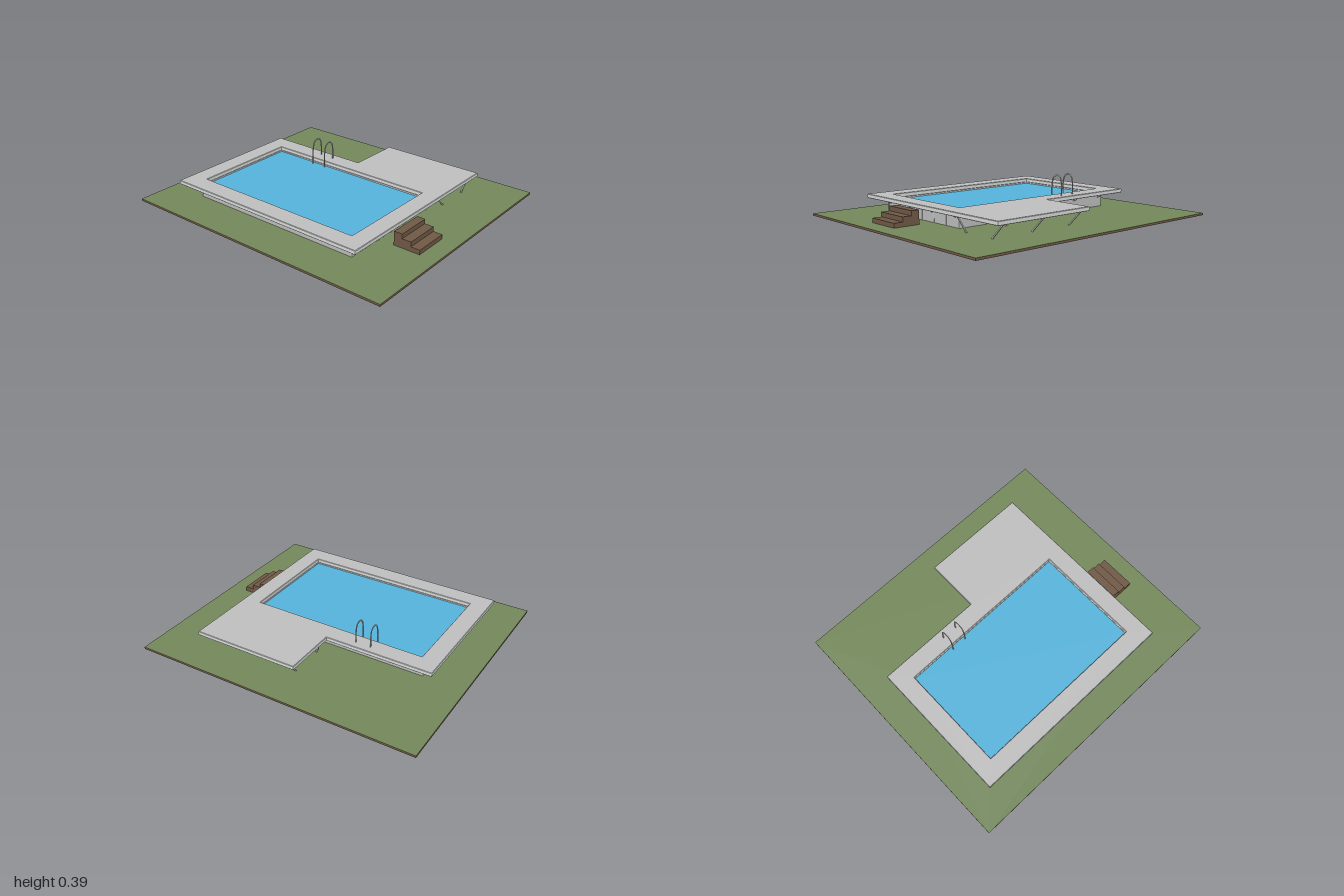
import * as THREE from 'three';

const mat = (name, color) => Object.assign(new THREE.MeshStandardMaterial({ color }), { name });

export function createModel() {
  const grass = mat('grass green', 0x73875a);
  const wood = mat('earth and wood brown', 0x6f5845);
  const stone = mat('deck grey', 0xbcbdbc);
  const trim = mat('light trim grey', 0xd8dcda);
  const steel = mat('steel grey', 0xc2c4c2);
  const water = mat('water blue', 0x55b2da);
  const floorBlue = mat('floor blue', 0x2d74b2);
  floorBlue.side = THREE.DoubleSide;
  water.side = THREE.DoubleSide;

  const model = new THREE.Group();
  const add = (name, geometry, material, parent = model) => {
    const mesh = new THREE.Mesh(geometry, material);
    mesh.name = name;
    parent.add(mesh);
    return mesh;
  };
  const group = (name) => {
    const g = new THREE.Group();
    g.name = name;
    model.add(g);
    return g;
  };
  const v = (x, y, z) => new THREE.Vector3(x, y, z);
  const rect = (x0, x1, z0, z1) => [[x0, z0], [x1, z0], [x1, z1], [x0, z1]].map((p) => new THREE.Vector2(...p));

  // Horizontal slab from an x/z outline with a hole and optional bevelled edges
  const slab = (outline, hole, y0, y1, bevel = 0) => {
    const shape = new THREE.Shape(outline);
    shape.holes.push(new THREE.Path(hole));
    return new THREE.ExtrudeGeometry(shape, {
      depth: y1 - y0 - 2 * bevel, bevelEnabled: bevel > 0,
      bevelThickness: bevel, bevelSize: bevel, bevelOffset: -bevel, bevelSegments: 1,
    }).rotateX(Math.PI / 2).translate(0, y1 - bevel, 0);
  };
  const box = (x0, x1, y0, y1, z0, z1) =>
    new THREE.BoxGeometry(x1 - x0, y1 - y0, z1 - z0).translate((x0 + x1) / 2, (y0 + y1) / 2, (z0 + z1) / 2);
  // Straight square bar between two points
  const bar = (name, a, b, w, parent) => {
    const m = add(name, new THREE.BoxGeometry(w, w, a.distanceTo(b)), steel, parent);
    m.position.copy(a).add(b).multiplyScalar(0.5);
    m.lookAt(b);
  };

  const X0 = -0.557, X1 = 0.18, Z0 = -0.685, Z1 = 0.56; // basin
  const W = { x0: -0.585, x1: 0.205, z0: -0.706, z1: 0.581 }; // outer walls
  const GROUND = 0.127, DECK = 0.224; // lawn top and deck underside
  const basin = rect(X0, X1, Z0, Z1);
  const plot = rect(-0.875, 0.875, -1, 1);

  // Ground
  add('groundSlab', slab(plot, basin, 0.112, 0.125), wood);
  add('lawn', slab(plot, basin, 0.125, GROUND), grass);

  // Basin floor and water
  const sheet = (y) => new THREE.PlaneGeometry(X1 - X0, Z1 - Z0).rotateX(-Math.PI / 2)
    .translate((X0 + X1) / 2, y, (Z0 + Z1) / 2);
  add('poolFloor', sheet(0), floorBlue);
  add('waterSurface', sheet(0.215), water);

  // Outer walls with ribs at front and back
  add('outerWalls', slab(rect(W.x0, W.x1, W.z0, W.z1), basin, GROUND, DECK), [stone, trim]);
  for (const [name, z] of [['frontWallFacing', W.z1], ['backWallFacing', W.z0]])
    add(name, box(W.x0, W.x1, GROUND, DECK, z - 0.001, z + 0.001), stone);
  for (const [name, x] of [['rightWallFacing', W.x0], ['leftWallFacing', W.x1]])
    add(name, box(x - 0.001, x + 0.001, GROUND, DECK, W.z0, W.z1), stone);
  const ribs = group('wallRibs');
  for (let i = 0; i <= 6; i++) {
    const x = W.x0 + 0.006 + i * (W.x1 - W.x0 - 0.012) / 6;
    for (const z of [W.z0, W.z1])
      add('wallRib', box(x - 0.006, x + 0.006, GROUND, DECK, z - 0.004, z + 0.004), steel, ribs);
  }

  // L-shaped deck with lighter bevelled edges
  const outline = [[-0.687, -0.813], [0.308, -0.813], [0.308, -0.063], [0.685, -0.063], [0.685, 0.685], [-0.687, 0.685]]
    .map((p) => new THREE.Vector2(...p));
  add('deck', slab(outline, basin, DECK, 0.252, 0.003), [stone, trim]);

  // Diagonal brackets under the walkway; the wide deck side has legs instead
  const brackets = group('walkwayBrackets');
  for (let i = 0; i < 4; i++) {
    const x = -0.55 + i * 0.24;
    for (const [z, s] of [[W.z0, -1], [W.z1, 1]])
      bar('bracket', v(x, 0.193, z), v(x, 0.223, z + s * 0.055), 0.007, brackets);
  }
  for (let i = 0; i < 6; i++) {
    const z = -0.67 + i * 0.245;
    bar('bracket', v(W.x0, 0.193, z), v(W.x0 - 0.055, 0.223, z), 0.007, brackets);
    if (i < 3) bar('bracket', v(W.x1, 0.193, z), v(W.x1 + 0.055, 0.223, z), 0.007, brackets);
  }

  // Slanted legs under the wide deck
  const legs = group('deckLegs');
  for (const z of [0, 0.315, 0.63]) {
    bar('deckLeg', v(0.335, 0.127, z), v(0.24, 0.222, z), 0.008, legs);
    bar('deckLeg', v(0.57, 0.127, z), v(0.665, 0.222, z), 0.008, legs);
    bar('deckBeam', v(0.21, 0.221, z), v(0.67, 0.221, z), 0.007, legs);
  }

  // Entry steps
  const steps = group('entrySteps');
  for (let i = 0; i < 3; i++)
    add('step', box(-0.313, -0.065, GROUND, 0.158 + i * 0.032, 0.69, 0.877 - i * 0.064), wood, steps);

  // Ladder: two flattened arched rails and a tread
  const ladder = group('ladder');
  const railPath = new THREE.CatmullRomCurve3([[0.255, 0.25], [0.255, 0.33], [0.243, 0.372], [0.212, 0.387],
    [0.18, 0.37], [0.166, 0.32], [0.162, 0.24], [0.162, 0.12], [0.162, 0.06], [0.166, 0.038], [0.176, 0.03]]
    .map(([x, y]) => v(x, y, 0)));
  for (const z of [-0.36, -0.253])
    add('ladderRail', new THREE.TubeGeometry(railPath, 60, 0.0055, 8).scale(1, 1, 0.6).translate(0, 0, z), steel, ladder);
  add('ladderTread', box(0.15, 0.172, 0.086, 0.091, -0.36, -0.253), steel, ladder);

  return model;
}
